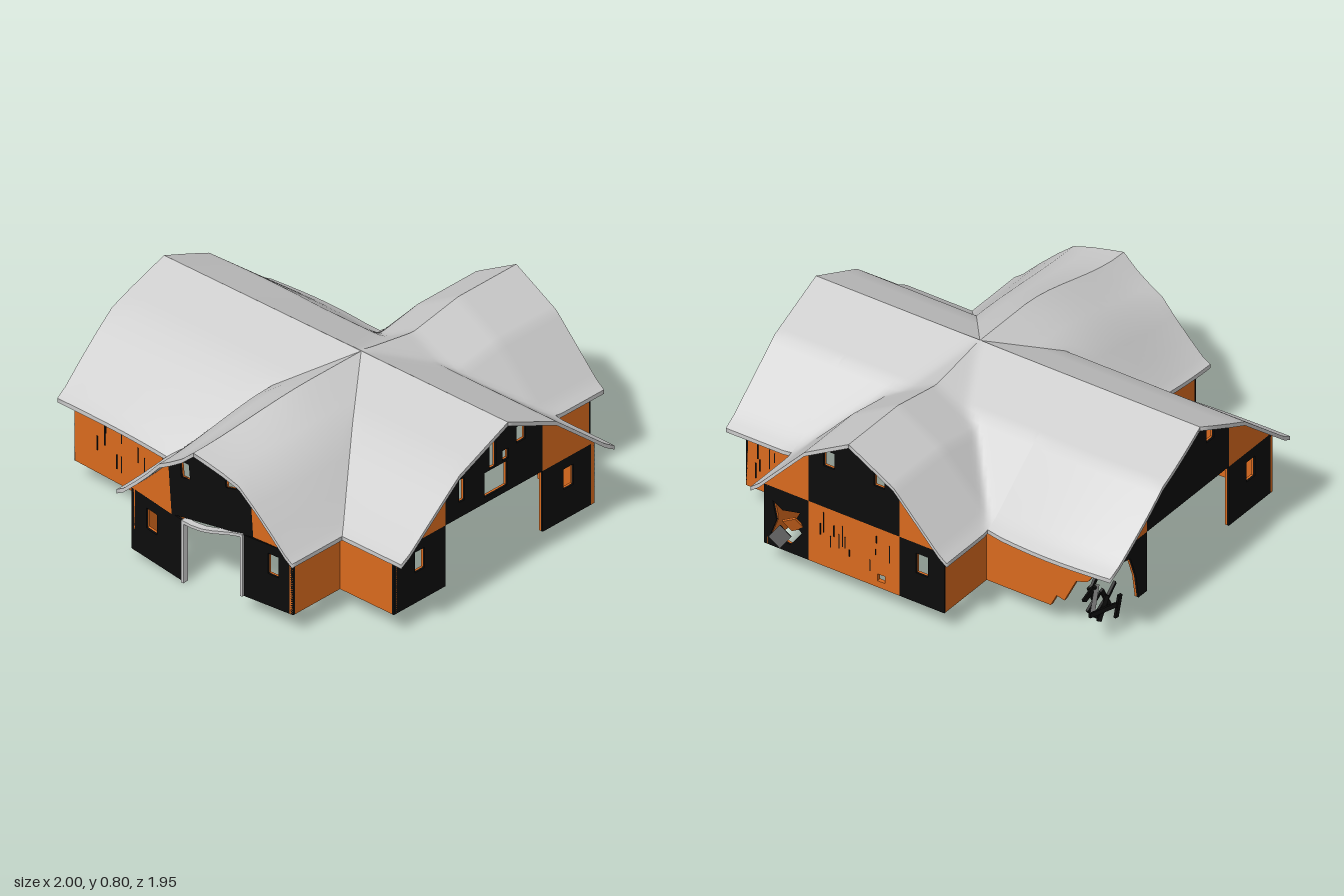
import * as THREE from 'three';

const CX = 0.155, RZ = -0.02, WING = 0.505, MAIN = 0.66, BASE = 0.08, EAVE = 0.38;
const grey = new THREE.MeshStandardMaterial({ color: 0xcccccc, side: THREE.DoubleSide });
const orange = new THREE.MeshStandardMaterial({ color: 0xd96a1e });
const black = new THREE.MeshStandardMaterial({ color: 0x0c0c0c });
const { lerp, clamp, smoothstep } = THREE.MathUtils;

// Gambrel height from ridge (0) to eave (1)
const KNOTS = [[0, 0.78], [0.455, 0.65], [0.92, 0.4], [1, 0.37], [3, -1.2]];
function profile(s) {
  const i = Math.max(1, KNOTS.findIndex((k) => s <= k[0]));
  const [a, b] = [KNOTS[i - 1], KNOTS[i]];
  return lerp(a[1], b[1], (s - a[0]) / (b[0] - a[0]));
}

// Sagging of the front wing
function sag(geo) {
  const p = geo.attributes.position;
  for (let i = 0; i < p.count; i++) {
    const x = p.getX(i), y = p.getY(i), z = p.getZ(i);
    const f = smoothstep(z, 0.3, 0.95), d = x - 0.04;
    const drop = 0.1 * f * Math.exp(-0.5 * (d / (d < 0 ? 0.33 : 0.17)) ** 2);
    const lean = 0.045 * f * clamp(1 - Math.abs(x - CX) / WING, 0, 1) * clamp((y - EAVE) / 0.3, 0, 1);
    p.setXYZ(i, x - lean, y - drop, z);
  }
  geo.computeVertexNormals();
  return geo;
}

// Thick sheet from a grid of points
function sheet(nu, nv, fn, thick = 0.02) {
  const pos = [], idx = [], n = (nu + 1) * (nv + 1), at = (i, j) => i * (nv + 1) + j;
  for (const drop of [0, thick])
    for (let i = 0; i <= nu; i++)
      for (let j = 0; j <= nv; j++) {
        const [x, y, z] = fn(i / nu, j / nv);
        pos.push(x, y - drop, z);
      }
  const quad = (a, b, c, d) => idx.push(a, b, c, a, c, d);
  for (let i = 0; i < nu; i++)
    for (let j = 0; j < nv; j++) {
      const q = [at(i, j), at(i + 1, j), at(i + 1, j + 1), at(i, j + 1)];
      quad(...q);
      quad(...q.map((k) => k + n).reverse());
    }
  const rim = [];
  for (let i = 0; i < nu; i++) rim.push(at(i, 0));
  for (let j = 0; j < nv; j++) rim.push(at(nu, j));
  for (let i = nu; i > 0; i--) rim.push(at(i, nv));
  for (let j = nv; j > 0; j--) rim.push(at(0, j));
  const r0 = pos.length / 3;
  rim.forEach((k) => pos.push(...pos.slice(3 * k, 3 * k + 3), ...pos.slice(3 * (k + n), 3 * (k + n) + 3)));
  rim.forEach((_, k) => {
    const a = r0 + 2 * k, b = r0 + 2 * ((k + 1) % rim.length);
    quad(a, a + 1, b + 1, b);
  });
  const g = new THREE.BufferGeometry();
  g.setAttribute('position', new THREE.Float32BufferAttribute(pos, 3));
  g.setIndex(idx);
  return sag(g);
}

function add(group, name, geo, mat) {
  const m = new THREE.Mesh(geo, mat);
  m.name = name;
  group.add(m);
  return m;
}

// Back of the roof: both gambrels blended into one smooth surface
function backHeight(x, z) {
  const dip = z < -0.34 ? 0.05 * clamp((z + 0.62) / 0.28, 0, 1) : 0.05 * clamp((RZ - z) / 0.32, 0, 1);
  const a = profile((RZ - z) / MAIN), b = profile(Math.abs(x - CX) / WING) - dip;
  return Math.min(0.782, (a + b + Math.sqrt((a - b) ** 2 + 0.0002)) / 2);
}

function buildRoof() {
  const roof = new THREE.Group();
  roof.name = 'roof';
  const S = [0, 0.15, 0.3, 0.455, 0.6, 0.76, 0.92, 1], n = S.length - 1;
  for (const side of [-1, 1]) {
    const end = (s) => (side > 0 ? 1 : -0.98 - 0.02 * Math.sin(Math.PI * s));
    add(roof, 'frontMainSlope', sheet(n, 10, (u, v) => {
      const s = S[Math.round(u * n)];
      return [lerp(CX + side * WING * s, end(s), v), profile(s), RZ + MAIN * s];
    }), grey);
    add(roof, 'frontWingSlope', sheet(n, 12, (u, v) => {
      const s = S[Math.round(u * n)];
      return [CX + side * WING * s, profile(s), lerp(RZ + MAIN * s, 0.95 + 0.02 * (1 - s), v)];
    }), grey);
    add(roof, 'backWingSlope', sheet(24, 32, (u, v) => {
      const x = CX + side * WING * u, z = RZ - 0.96 * v;
      return [x, backHeight(x, z), z];
    }), grey);
    add(roof, 'backMainSlope', sheet(8, 22, (u, v) => {
      const x = lerp(CX + side * WING, end(v), u), z = RZ - MAIN * v;
      const bulge = side < 0 ? 0.02 * v * Math.sin(Math.PI * u) : 0;
      return [x, backHeight(x, z), z - bulge];
    }), grey);
  }
  return roof;
}

const rect = (x0, x1, y0 = BASE, y1 = EAVE) => [[x0, y0], [x1, y0], [x1, y1], [x0, y1]];
const hole = (x, y, w, h) => rect(x - w / 2, x + w / 2, y - h / 2, y + h / 2);

// Two-layer wall panel: painted outside, orange inside; frame = [x, z, turn]
function panel(group, name, frame, pts, mat, holes = []) {
  const shape = new THREE.Shape(pts.map((p) => new THREE.Vector2(...p)));
  holes.forEach((h) => shape.holes.push(new THREE.Path(h.map((p) => new THREE.Vector2(...p)))));
  [[-0.01, mat, name], [-0.02, orange, name + 'Lining']].forEach(([z, m, label]) => {
    const g = new THREE.ExtrudeGeometry(shape, { depth: 0.01, bevelEnabled: false });
    g.translate(0, 0, z).rotateY(frame[2]).translate(frame[0], 0, frame[1]);
    add(group, label, sag(g), m);
  });
}

// Checkered gable end
function gable(name, frame, w, knee, o = {}) {
  const g = new THREE.Group();
  g.name = name;
  const [d0, d1] = o.door || [-knee, knee], wx = o.windowX || (w + knee) / 2;
  panel(g, 'leftLowerPanel', frame, o.leftShape || rect(-w, d0), black, o.leftHoles || [hole(-wx, 0.28, 0.06, 0.1)]);
  panel(g, 'rightLowerPanel', frame, rect(d1, w), black, [hole(wx, 0.28, 0.06, 0.1)]);
  if (o.middle) panel(g, 'middlePanel', frame, rect(d0, d1), orange, o.middle);
  const lofts = [-1, 1].map((s) => hole(s * (o.loftX || 0.13), 0.63, 0.055, 0.08));
  panel(g, 'loftPanel', frame, [[-knee, EAVE], [knee, EAVE], [knee, 0.64], [0, 0.765], [-knee, 0.64]], black,
    [...lofts, ...(o.loftHoles || [])]);
  panel(g, 'rightLoftCorner', frame, [[knee, EAVE], [w, EAVE], [knee, 0.64]], orange);
  panel(g, 'leftLoftCorner', frame, [[-w, EAVE], [-knee, EAVE], [-knee, 0.64]], orange);
  return g;
}

export function createModel() {
  const model = new THREE.Group();
  model.name = 'barn';
  model.add(buildRoof());

  // Gable ends
  const H = Math.PI / 2;
  const loftHoles = [rect(-0.06, 0.08, 0.41, 0.53), rect(-0.03, 0.01, 0.535, 0.735),
    hole(-0.2, 0.51, 0.035, 0.11), hole(0.07, 0.565, 0.035, 0.05)];
  model.add(gable('frontGable', [CX, 0.9, 0], 0.465, 0.235, { door: [-0.165, 0.175], windowX: 0.35 }));
  model.add(gable('rightGable', [0.93, -0.01, H], 0.62, 0.3, { loftX: 0.165, loftHoles }));
  model.add(gable('leftGable', [-0.91, -0.01, -H], 0.62, 0.3, {
    loftX: 0.165, leftHoles: [],
    leftShape: [[-0.36, BASE], [-0.3, BASE], [-0.3, EAVE], [-0.62, EAVE], [-0.53, 0.33], [-0.42, 0.31], [-0.38, 0.2]],
  }));
  model.add(gable('backGable', [CX, -0.94, Math.PI], 0.465, 0.235, {
    middle: [hole(0.14, 0.13, 0.04, 0.035)],
    leftHoles: [[[-0.43, 0.14], [-0.33, 0.12], [-0.27, 0.2], [-0.31, 0.24], [-0.28, 0.3], [-0.37, 0.28], [-0.42, 0.31], [-0.4, 0.22]]],
  }));

  // Long walls, local to the wall centre
  const walls = new THREE.Group();
  walls.name = 'sideWalls';
  const wall = (x, z, turn, w) => panel(walls, 'sideWall', [x, z, turn], rect(-w / 2, w / 2), orange);
  wall(-0.61, 0.61, 0, 0.6);
  wall(0.775, 0.61, 0, 0.31);
  wall(0.775, -0.63, Math.PI, 0.31);
  for (const [x, turn] of [[-0.31, -H], [0.62, H]]) {
    wall(x, 0.755, turn, 0.29);
    wall(x, -0.785, turn, 0.31);
  }
  panel(walls, 'tornBackWall', [-0.31, -0.63, Math.PI],
    [[0, BASE], [0.33, BASE], [0.36, 0.14], [0.4, 0.13], [0.46, 0.25], [0.52, 0.27], [0.6, EAVE], [0, EAVE]], orange);
  model.add(walls);

  // Dark gaps between boards
  const gaps = new THREE.Group();
  gaps.name = 'boardGaps';
  let seed = 7;
  const rnd = () => (seed = (seed * 16807) % 2147483647) / 2147483647;
  for (let i = 0; i < 36; i++) {
    const h = 0.03 + 0.08 * rnd(), y = 0.15 + 0.17 * rnd(), t = rnd();
    const [x, z] = [[lerp(-0.88, -0.35, t), 0.61], [lerp(0.65, 0.9, t), -0.63], [lerp(-0.05, 0.36, t), -0.94]][i % 3];
    add(gaps, 'boardGap', sag(new THREE.BoxGeometry(0.005, h, 0.004).translate(x, y, z)), black);
  }
  model.add(gaps);

  // Door trim
  const trim = new THREE.Group();
  trim.name = 'doorTrim';
  for (const [x, y, w, h] of [[-0.01, 0.23, 0.014, 0.3], [0.33, 0.23, 0.014, 0.3], [0.16, 0.38, 0.35, 0.014]])
    add(trim, 'trimBoard', sag(new THREE.BoxGeometry(w, h, 0.03, 6).translate(x, y, 0.895)), grey);
  model.add(trim);

  // Broken boards at the collapsed corner and the damaged back panel
  const debris = new THREE.Group();
  debris.name = 'brokenBoards';
  for (let i = 0; i < 11; i++) {
    const b = add(debris, 'brokenBoard', new THREE.BoxGeometry(0.02, 0.08 + 0.08 * rnd(), 0.012), black);
    b.position.set(-0.92 + 0.16 * rnd(), 0.12 + 0.06 * rnd(), -0.62 + 0.1 * rnd());
    b.rotation.set(rnd() * 2 - 1, rnd() * 2, rnd() * 2 - 1);
  }
  for (const [x, y, tilt] of [[0.53, 0.15, 0.5], [0.46, 0.24, -0.4]]) {
    const b = add(debris, 'bentPlate', new THREE.BoxGeometry(0.07, 0.07, 0.01), tilt > 0 ? black : orange);
    b.position.set(x, y, -0.95);
    b.rotation.set(tilt, 0.3, tilt);
  }
  model.add(debris);
  return model;
}
